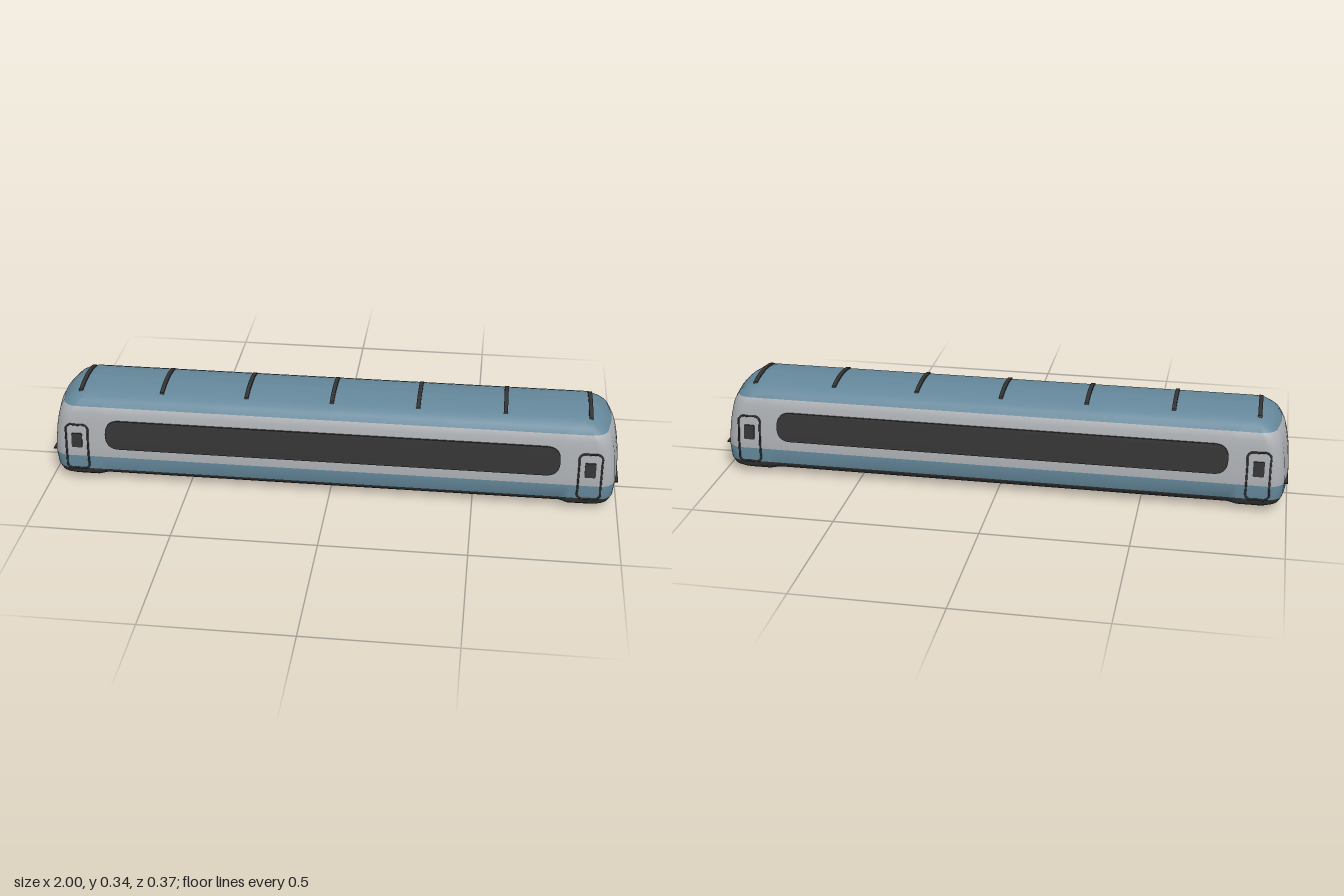
import * as THREE from 'three';

const mat = (name, color) => {
  const m = new THREE.MeshStandardMaterial({ color });
  m.name = name;
  return m;
};

// Body levels from bottom to top: height, half length, half width
const LEVELS = [
  [0.018, 0.95, 0.14], [0.021, 0.97, 0.163], [0.03, 0.985, 0.174], [0.05, 0.995, 0.178],
  [0.1, 1.0, 0.178], [0.135, 0.998, 0.176], [0.19, 0.993, 0.169], [0.235, 0.985, 0.162],
  [0.26, 0.978, 0.157], [0.283, 0.965, 0.149], [0.3, 0.95, 0.134], [0.313, 0.935, 0.119],
  [0.322, 0.92, 0.097], [0.328, 0.905, 0.07], [0.332, 0.89, 0.04], [0.3335, 0.87, 0],
];
const cornerRadius = (hz) => Math.min(0.055, hz * 0.6);

// Depth of the side wall at a given x and y
function sideZ(x, y) {
  let i = 0;
  while (i < LEVELS.length - 2 && LEVELS[i + 1][0] < y) i++;
  const [a, b] = [LEVELS[i], LEVELS[i + 1]];
  const t = (y - a[0]) / (b[0] - a[0]);
  const hx = a[1] + (b[1] - a[1]) * t, hz = a[2] + (b[2] - a[2]) * t;
  const r = cornerRadius(hz), d = Math.min(r, Math.max(0, Math.abs(x) - (hx - 0.012 - r)));
  return hz - r + Math.sqrt(r * r - d * d);
}

// Quarter outline of one level, from the side centre to the end centre
function quarter([y, hx, hz]) {
  const r = cornerRadius(hz), cx = hx - 0.012 - r, pts = [];
  for (const x of [0, 0.4, 0.8, 0.83]) pts.push([x, hz * (y < 0.045 && x < 0.82 ? 0.9 : 1)]);
  for (let k = 0; k <= 8; k++) {
    const a = (k / 8) * Math.PI / 2;
    pts.push([cx + r * Math.sin(a), hz - r + r * Math.cos(a)]);
  }
  for (const f of [0.66, 0.33, 0]) pts.push([hx - 0.012 * f * f, (hz - r) * f]);
  return pts;
}

function bodyGeometry() {
  const pos = [], index = [], geo = new THREE.BufferGeometry();
  let n = 0;
  for (const level of LEVELS) {
    const q = quarter(level), fwd = q.slice(0, -1), back = q.slice(1).reverse();
    const loop = [
      ...fwd, ...back.map(([x, z]) => [x, -z]),
      ...fwd.map(([x, z]) => [-x, -z]), ...back.map(([x, z]) => [-x, z]),
    ];
    n = loop.length;
    for (const [x, z] of loop) pos.push(x, level[0], z);
  }
  // Colour bands: skirt, lower stripe, wall, roof
  const band = (y) => (y < 0.05 ? 0 : y < 0.1 ? 1 : y < 0.283 ? 2 : 1);
  for (let j = 0; j < LEVELS.length - 1; j++) {
    const start = index.length;
    for (let i = 0; i < n; i++) {
      const a = j * n + i, b = j * n + (i + 1) % n;
      index.push(a, b, b + n, a, b + n, a + n);
    }
    geo.addGroup(start, index.length - start, band(LEVELS[j][0]));
  }
  // Floor
  const start = index.length, centre = pos.length / 3;
  pos.push(0, LEVELS[0][0], 0);
  for (let i = 0; i < n; i++) index.push(centre, (i + 1) % n, i);
  geo.addGroup(start, index.length - start, 0);
  geo.setAttribute('position', new THREE.Float32BufferAttribute(pos, 3));
  geo.setIndex(index);
  geo.computeVertexNormals();
  return geo;
}

// Rounded plate that follows the side wall
function sidePlate(cx, cy, w, h, r, out) {
  const s = new THREE.Shape(), x = w / 2, y = h / 2;
  s.moveTo(-x + r, -y);
  s.lineTo(x - r, -y).quadraticCurveTo(x, -y, x, -y + r);
  s.lineTo(x, y - r).quadraticCurveTo(x, y, x - r, y);
  s.lineTo(-x + r, y).quadraticCurveTo(-x, y, -x, y - r);
  s.lineTo(-x, -y + r).quadraticCurveTo(-x, -y, -x + r, -y);
  const geo = new THREE.ExtrudeGeometry(s, { depth: 0.009, bevelEnabled: false, curveSegments: 8 });
  geo.translate(cx, cy, out - 0.009);
  const p = geo.attributes.position;
  for (let i = 0; i < p.count; i++) p.setZ(i, p.getZ(i) + sideZ(p.getX(i), p.getY(i)));
  geo.computeVertexNormals();
  return geo;
}

// Door outline: a thin closed tube that follows the side wall
function doorFrame(cx) {
  const pts = [], y0 = 0.05, y1 = 0.217, w = 0.039, c = 0.012;
  const add = (x, y) => pts.push(new THREE.Vector3(cx + x, y, sideZ(cx + x, y) + 0.001));
  for (let k = 0; k <= 6; k++) add(w, y0 + c + (y1 - y0 - 2 * c) * k / 6);
  for (const x of [w - c, 0, c - w]) add(x, y1);
  for (let k = 6; k >= 0; k--) add(-w, y0 + c + (y1 - y0 - 2 * c) * k / 6);
  for (const x of [c - w, 0, w - c]) add(x, y0);
  return new THREE.TubeGeometry(new THREE.CatmullRomCurve3(pts, true, 'centripetal'), 90, 0.0035, 6, true);
}

// Curved roof rib, drawn across the roof and extruded along x
function ribGeometry(drop) {
  const s = new THREE.Shape();
  s.moveTo(-0.1, 0.316);
  s.lineTo(-0.096, 0.327);
  s.quadraticCurveTo(0, 0.353, 0.096, 0.327);
  s.lineTo(0.1, 0.316);
  s.quadraticCurveTo(0, 0.338, -0.1, 0.316);
  const geo = new THREE.ExtrudeGeometry(s, { depth: 0.014, bevelEnabled: false, curveSegments: 14 });
  geo.translate(0, -drop, -0.007);
  return geo.rotateY(Math.PI / 2);
}

export function createModel() {
  const model = new THREE.Group();
  const dark = mat('charcoal', 0x333333);
  const blue = mat('steel blue', 0x64879a);
  const grey = mat('light grey', 0xabaeb2);
  const add = (name, geo, material, parent = model) => {
    const m = new THREE.Mesh(geo, material);
    m.name = name;
    parent.add(m);
    return m;
  };

  add('body', bodyGeometry(), [dark, blue, grey]);

  // Windows and doors on both sides
  for (const side of [0, 1]) {
    const wall = new THREE.Group();
    wall.name = side ? 'backSide' : 'frontSide';
    wall.rotation.y = side * Math.PI;
    add('windowStrip', sidePlate(0, 0.187, 1.59, 0.104, 0.05, 0.006), dark, wall);
    for (const x of [-0.898, 0.898]) {
      add('doorFrame', doorFrame(x), dark, wall);
      add('doorWindow', sidePlate(x, 0.16, 0.038, 0.052, 0.005, 0.004), dark, wall);
    }
    model.add(wall);
  }

  // Roof ribs
  for (const x of [-0.89, -0.6, -0.3, 0, 0.3, 0.6, 0.89]) {
    add('roofRib', ribGeometry(Math.abs(x) > 0.8 ? 0.003 : 0), dark).position.x = x;
  }

  // Thin seams on the ends
  for (const s of [-1, 1]) {
    add('endSeam', new THREE.BoxGeometry(0.016, 0.004, 0.274), dark).position.set(s * 0.9905, 0.099, 0);
  }

  // Underframe, side rails and wheels
  add('underframe', new THREE.BoxGeometry(1.9, 0.02, 0.11), dark).position.y = 0.014;
  for (const z of [-0.075, 0.075]) {
    add('rail', new THREE.BoxGeometry(1.9, 0.012, 0.011), dark).position.set(0, 0.016, z);
    for (const x of [-0.67, -0.41, 0.41, 0.67]) {
      const wheel = add('wheel', new THREE.CylinderGeometry(0.035, 0.035, 0.012, 24), dark);
      wheel.rotation.x = Math.PI / 2;
      wheel.position.set(x, 0.035, z);
    }
  }
  return model;
}
